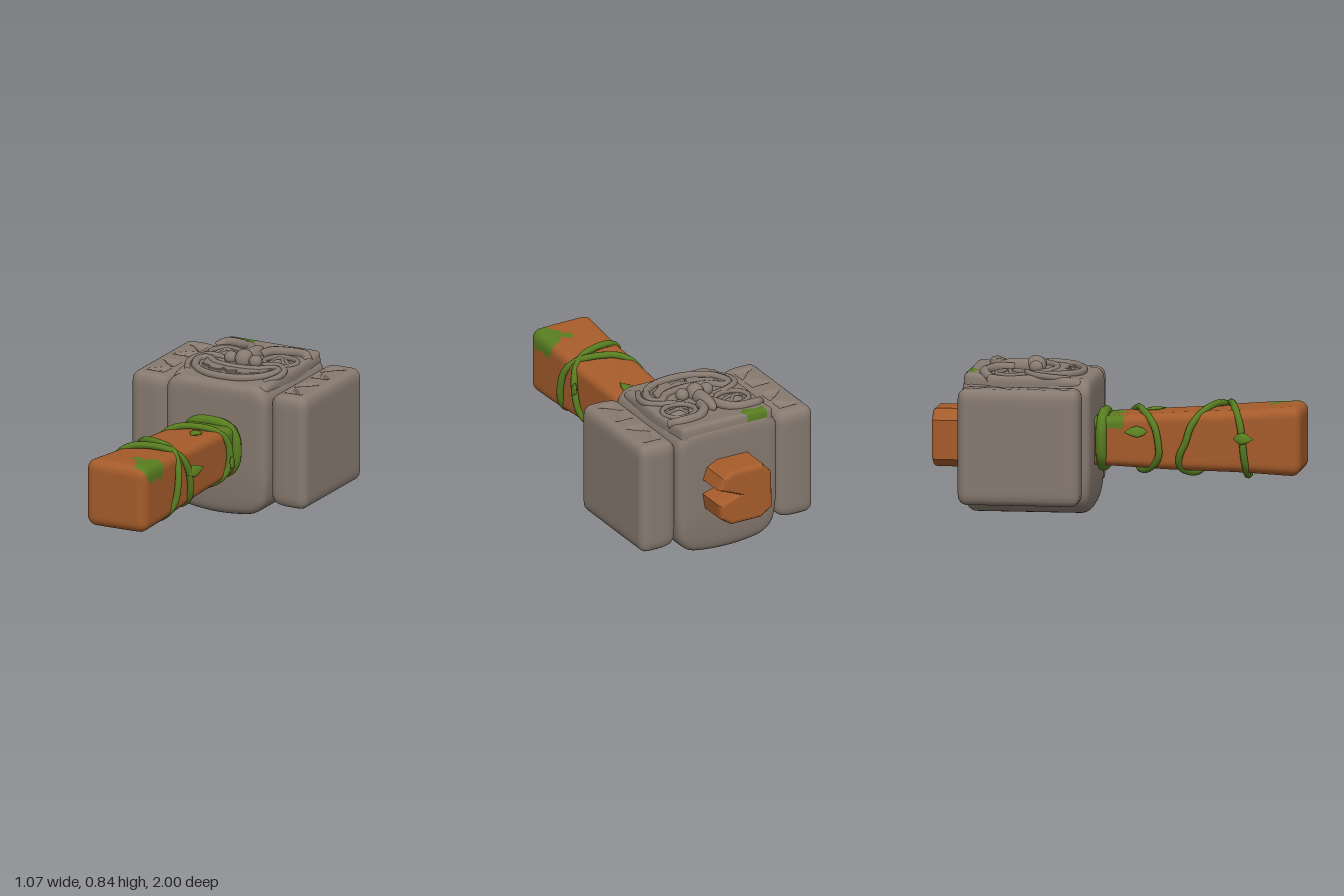
import * as THREE from 'three';
import { mergeVertices } from 'three/addons/utils/BufferGeometryUtils.js';

const paint = (name, color) => Object.assign(new THREE.MeshStandardMaterial({ color }), { name });

// Soft-edged block; warp may move each vertex afterwards
function block(w, h, d, segs, r, warp) {
  let g = new THREE.BoxGeometry(w, h, d, ...segs);
  g.deleteAttribute('uv');
  g.deleteAttribute('normal');
  g.clearGroups();
  const inner = new THREE.Vector3(w / 2 - r, h / 2 - r, d / 2 - r);
  const p = g.attributes.position, v = new THREE.Vector3(), c = new THREE.Vector3();
  for (let i = 0; i < p.count; i++) {
    v.fromBufferAttribute(p, i);
    c.copy(v).clamp(inner.clone().negate(), inner);
    v.sub(c).setLength(r).add(c);
    warp(v);
    p.setXYZ(i, v.x, v.y, v.z);
  }
  g = mergeVertices(g, 1e-5);
  g.computeVertexNormals();
  return g;
}

// Sort triangles into two material groups by the position of their centres
function splitFaces(g, isSecond) {
  const p = g.attributes.position, sets = [[], []];
  for (let i = 0; i < g.index.count; i += 3) {
    const tri = [0, 1, 2].map(k => g.index.getX(i + k));
    const c = new THREE.Vector3();
    tri.forEach(k => c.add(new THREE.Vector3().fromBufferAttribute(p, k)));
    sets[isSecond(c.divideScalar(3)) ? 1 : 0].push(...tri);
  }
  g.setIndex([...sets[0], ...sets[1]]);
  g.addGroup(0, sets[0].length, 0);
  g.addGroup(sets[0].length, sets[1].length, 1);
  return g;
}

const tube = (pts, r, closed = false, n = 48) => new THREE.TubeGeometry(
  new THREE.CatmullRomCurve3(pts.map(q => new THREE.Vector3(...q)), closed), n, r, 8, closed);

export function createModel() {
  const stone = paint('stone', 0x877a70);
  const wood = paint('wood', 0xa65c2b);
  const green = paint('leafGreen', 0x587d20);
  const model = new THREE.Group();
  const add = (name, geo, mat, x = 0, y = 0, z = 0) => {
    const m = new THREE.Mesh(geo, mat);
    m.name = name;
    m.position.set(x, y, z);
    model.add(m);
    return m;
  };

  // Head: barrel-like block, narrower and bulged below
  add('head', block(0.62, 0.75, 0.7, [26, 30, 26], 0.1, v => {
    const low = Math.max(0, 0.3 - (v.y + 0.375)) / 0.3;
    v.z = Math.sign(v.z) * 0.35 * (1 - Math.pow(Math.max(0, 1 - Math.abs(v.z) / 0.35), 1.6));
    v.y += low * low * 0.4 * v.x * v.x;
    v.x *= 1 - 0.1 * low * low;
    v.z *= 1 - 0.07 * low * low;
  }), stone, 0, 0.375, -0.47);

  // Face slab with eye hollows and a mossy back edge
  const slab = block(0.58, 0.12, 0.64, [72, 6, 72], 0.03, v => {
    if (v.y > 0.03) {
      const e = Math.hypot(Math.abs(v.x) - 0.165, v.z + 0.08) / 0.085;
      v.y -= 0.035 * Math.exp(-e * e * e * e);
      v.y -= 0.02 * Math.max(0, (v.z - 0.15) / 0.17);
      v.y += 0.012 * Math.max(0, (-0.2 - v.z) / 0.12);
    }
    v.x *= 1 + 0.02 * Math.cos(v.z * 9);
  });
  const onSlab = c => c.x > -0.24 + 0.1 * (c.z + 0.3) && c.x < -0.115 + 0.02 * Math.sin(c.z * 60)
    && c.z < -0.262 + 0.012 * Math.sin(c.x * 40) && c.y > 0.02;
  add('faceSlab', splitFaces(slab, onSlab), [stone, green], 0, 0.707, -0.49);

  // Brows, eyes, nostrils and cheeks
  const blob = (name, x, y, z, sx, sy, sz) =>
    add(name, new THREE.SphereGeometry(1, 24, 16), stone, x, y, z).scale.set(sx, sy, sz);
  for (const s of [1, -1]) {
    add('brow', tube([[s * 0.28, 0.75, -0.66], [s * 0.24, 0.772, -0.7], [s * 0.12, 0.775, -0.695],
      [s * 0.06, 0.78, -0.65], [s * 0.035, 0.775, -0.57]], 0.027), stone);
    blob('eye', s * 0.165, 0.74, -0.57, 0.06, 0.035, 0.055);
    const ring = [];
    for (let i = 0; i < 10; i++) {
      const a = i / 10 * Math.PI * 2;
      ring.push([s * (0.165 + 0.092 * Math.cos(a)), 0.762, -0.565 + 0.08 * Math.sin(a)]);
    }
    add('eyeRim', tube(ring, 0.014, true), stone);
    add('eyelid', tube([[s * 0.1, 0.745, -0.55], [s * 0.14, 0.775, -0.57], [s * 0.18, 0.776, -0.57],
      [s * 0.235, 0.75, -0.54]], 0.01), stone);
    add('eyeFold', tube([[s * 0.13, 0.755, -0.61], [s * 0.165, 0.778, -0.575], [s * 0.2, 0.755, -0.53]], 0.009), stone);
    blob('nostril', s * 0.075, 0.785, -0.445, 0.036, 0.035, 0.038);
    add('cheek', tube([[s * 0.1, 0.755, -0.47], [s * 0.19, 0.772, -0.475], [s * 0.265, 0.768, -0.42],
      [s * 0.275, 0.76, -0.34], [s * 0.23, 0.745, -0.24]], 0.018), stone);
  }
  blob('noseBridge', 0, 0.778, -0.54, 0.04, 0.045, 0.13);
  blob('noseTip', 0, 0.785, -0.455, 0.048, 0.054, 0.055);

  // Grinning mouth: lip loop and a plate of teeth
  const half = [[0.13, -0.37], [0.2, -0.425], [0.238, -0.395], [0.205, -0.285], [0.11, -0.218]];
  const lip = [[0, -0.345], ...half, [0, -0.2], ...half.map(([x, z]) => [-x, z]).reverse()];
  add('lips', tube(lip.map(([x, z]) => [x, 0.768 - 0.05 * Math.max(0, z + 0.35), z]), 0.022, true, 80), stone);
  const teethEdge = [[0, -0.35], [0.12, -0.37], [0.2, -0.41], [0.19, -0.33], [0.13, -0.285], [0.12, -0.262],
    [0.055, -0.255], [0.05, -0.29], [0.0, -0.268], [-0.04, -0.3], [-0.05, -0.262], [-0.11, -0.27],
    [-0.12, -0.295], [-0.18, -0.32], [-0.2, -0.41], [-0.12, -0.37]];
  const teeth = new THREE.ExtrudeGeometry(new THREE.Shape(teethEdge.map(([x, z]) => new THREE.Vector2(x, -z))),
    { depth: 0.03, bevelEnabled: true, bevelSize: 0.004, bevelThickness: 0.004, bevelSegments: 1 });
  teeth.rotateX(-Math.PI / 2);
  add('teeth', teeth, stone, 0, 0.742, 0);

  // Side blocks with carved zigzag notches above and below
  for (const s of [1, -1]) {
    add('sideBlock', block(0.225, 0.63, 0.66, [20, 22, 60], 0.05, v => {
      const inner = Math.max(0, -v.x * s / 0.1125);
      if (Math.abs(v.y) > 0.3) {
        const u = Math.abs(v.z) - 0.15, x = v.x * s;
        const k = Math.abs(u) < 0.1 && Math.abs(x) < 0.055 ? Math.abs(u) % 0.1 / 0.1 : 0;
        if (k > 0 && x + 0.055 < 0.11 * k) v.y -= Math.sign(v.y) * 0.014;
      }
      v.y *= 1 - 0.05 * inner * inner;
      v.z *= 1 - 0.05 * inner * inner;
    }), stone, s * 0.4225, 0.405, -0.48);
  }

  // Handle: tapered, slightly hewn beam with moss at both ends
  const midY = z => 0.4 + 0.02 * z;
  const halfW = z => 0.148 + 0.037 * z;
  const halfH = z => 0.138 + 0.05 * z;
  const handle = block(0.36, 0.36, 1.2, [26, 26, 90], 0.055, v => {
    const z = v.z + 0.4;
    const hew = 1 + 0.012 * Math.sin(z * 9 + v.x * 8);
    v.set(v.x / 0.18 * halfW(z) * hew, midY(z) + v.y / 0.18 * halfH(z) * hew, z);
  });
  const mossy = c =>
    Math.hypot((c.x - 0.17) / 0.1, (c.y - 0.6) / 0.1, (c.z - 0.87) / 0.11) < 1 + 0.12 * Math.sin(c.z * 50 + c.x * 30)
    || (c.y > 0.5 && Math.hypot(c.x - 0.045, c.z - 0.825) < 0.032)
    || (c.y > 0.47 && c.z < 0.02 + 0.025 * Math.sin(c.x * 45 + 1));
  add('handle', splitFaces(handle, mossy), [wood, green]);

  // Handle end behind the head, split by a wedge
  const stub = [[-0.145, 0.30], [-0.09, 0.265], [0.08, 0.265], [0.13, 0.30], [0.14, 0.36], [0.01, 0.41],
    [0.135, 0.47], [0.12, 0.51], [0.07, 0.535], [-0.1, 0.535], [-0.14, 0.49]];
  add('handleEnd', new THREE.ExtrudeGeometry(new THREE.Shape(stub.map(q => new THREE.Vector2(...q))),
    { depth: 0.25, bevelEnabled: true, bevelSize: 0.023, bevelThickness: 0.025, bevelSegments: 3 }), wood, 0, 0, -0.975);

  // Vines wound round the handle; zs gives z at each quarter turn
  const soft = c => Math.sign(c) * Math.pow(Math.abs(c), 0.75);
  const vine = (name, zs, r, gap) => {
    const path = new THREE.CatmullRomCurve3(zs.map((z, i) => new THREE.Vector3(i, z, 0)), true);
    const pts = [], n = zs.length * 5;
    for (let i = 0; i < n; i++) {
      const z = path.getPoint(i / n).y, a = Math.PI - i / 5 * Math.PI / 2;
      pts.push([(halfW(z) + gap) * soft(Math.cos(a)), midY(z) + (halfH(z) + gap) * soft(Math.sin(a)), z]);
    }
    add(name, tube(pts, r, true, n * 4), green);
  };
  vine('outerVine', [0.38, 0.52, 0.645, 0.7, 0.69, 0.61, 0.5, 0.42], 0.019, 0.022);
  vine('innerVine', [0.23, 0.11, 0.02, 0.11], 0.019, 0.022);
  vine('collarVine', [-0.082, -0.082, -0.082, -0.082], 0.03, 0.01);

  // Leaves: base, direction, facing
  const profile = [[0, 0], [0.02, 0.02], [0.035, 0.055], [0.026, 0.085], [0, 0.13]].map(q => new THREE.Vector2(...q));
  const leafGeo = new THREE.LatheGeometry(profile, 10);
  leafGeo.scale(1, 1, 0.35);
  const leaves = [
    [[-0.16, 0.46, 0.17], [-0.35, 0, -1], [-1, 0.6, 0.3]],
    [[0.18, 0.38, -0.01], [0.35, -0.15, 1], [1, 0.2, -0.3]],
    [[0.04, 0.55, 0.12], [0.15, 0.1, 1], [0, 1, 0]],
    [[0.185, 0.45, 0.54], [0.35, 0.1, -1], [1, 0.3, 0.3]],
    [[-0.2, 0.44, 0.64], [-0.45, 0, 1], [-1, 0.4, -0.4]],
  ];
  for (const [base, dir, face] of leaves) {
    const d = new THREE.Vector3(...dir).normalize();
    const side = d.clone().cross(new THREE.Vector3(...face)).normalize();
    const m = add('leaf', leafGeo, green, ...base);
    m.quaternion.setFromRotationMatrix(new THREE.Matrix4().makeBasis(side, d, side.clone().cross(d)));
  }
  return model;
}
